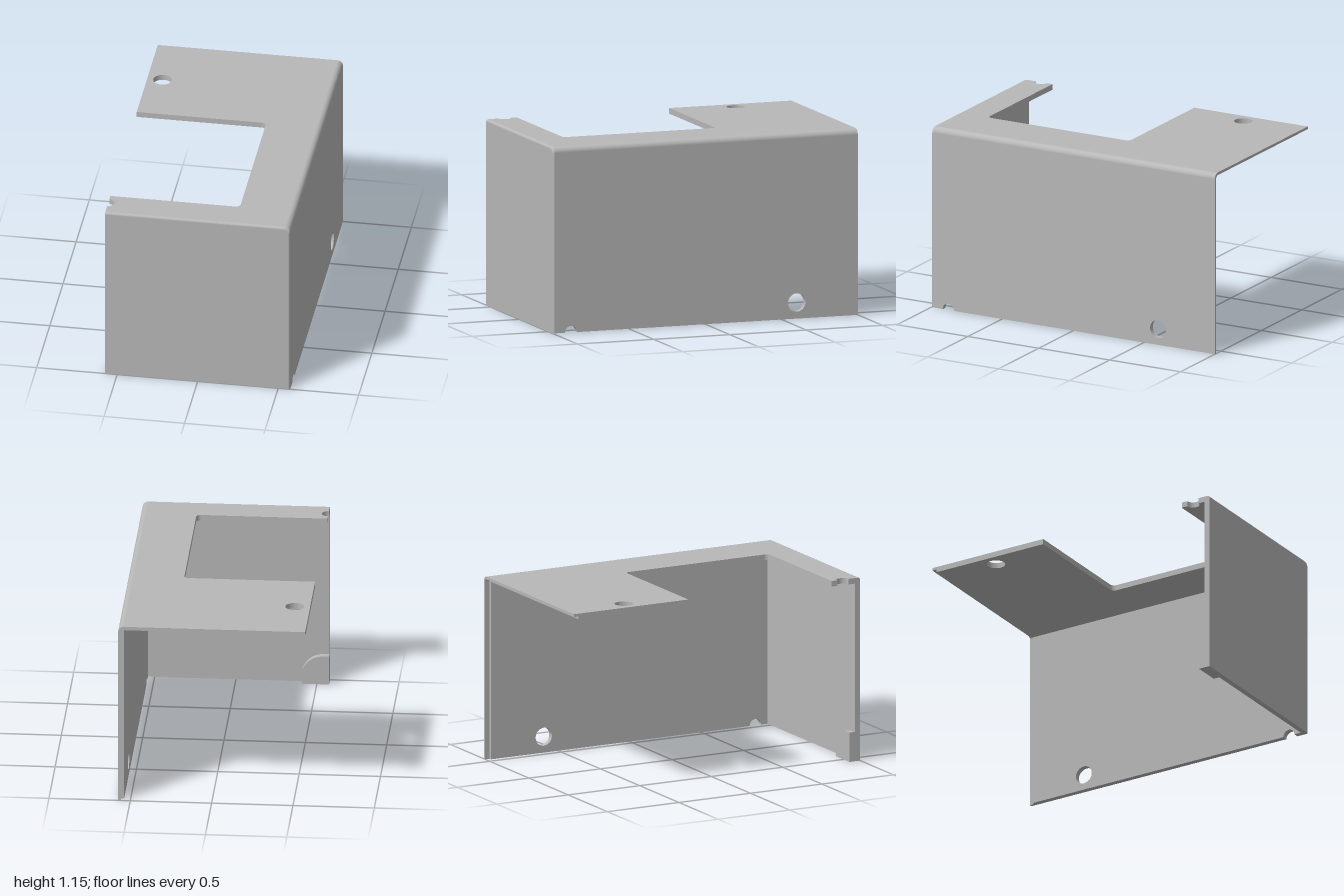
import * as THREE from 'three';

const X = 0.575, TOP = 1.155, T = 0.035;   // half width, height, wall thickness
const LIP = 0.03, LIP_T = 0.017;           // thin rebated lip at the back edge
const EDGE = 0.015;                        // rounding of the front edges

function extrude(shape, depth, steps = 1) {
  return new THREE.ExtrudeGeometry(shape, { depth, steps, bevelEnabled: false, curveSegments: 20 });
}

function circleHole(x, y, r) {
  const hole = new THREE.Path();
  hole.absarc(x, y, r, 0, Math.PI * 2, true);
  return hole;
}

export function createModel() {
  const group = new THREE.Group();
  const grey = new THREE.MeshStandardMaterial({ color: 0xb8b8b8 });
  grey.name = 'plain grey';
  const add = (name, geometry) => {
    const mesh = new THREE.Mesh(geometry, grey);
    mesh.name = name;
    group.add(mesh);
  };
  const zBack = -1 + LIP, zFront = 1 - T;

  // Top plate, drawn in x and z: C-shaped cutout, notch and screw hole
  const top = new THREE.Shape();
  const f = 0.03;
  top.moveTo(-X, zBack);
  top.lineTo(X - T, zBack);
  top.lineTo(X - T, zFront);
  top.lineTo(-X, zFront);
  top.lineTo(-X, 0.92);
  top.absarc(-X, 0.88, 0.04, Math.PI / 2, -Math.PI / 2, true);
  top.lineTo(-X, 0.8);
  top.lineTo(0.23 - f, 0.8);
  top.absarc(0.23 - f, 0.8 - f, f, Math.PI / 2, 0, true);
  top.lineTo(0.23, -0.2 + f);
  top.absarc(0.23 - f, -0.2 + f, f, 0, -Math.PI / 2, true);
  top.lineTo(-X, -0.2);
  top.closePath();
  top.holes.push(circleHole(-0.48, -0.6, 0.057));
  add('topPlate', extrude(top, T).rotateX(Math.PI / 2).translate(0, TOP, 0));

  // Side plate, drawn in z and y
  const side = new THREE.Shape();
  side.moveTo(zBack, 0);
  side.lineTo(0.84, 0);
  side.absarc(0.88, 0, 0.04, Math.PI, 0, true);
  side.lineTo(zFront, 0);
  side.lineTo(zFront, TOP - T);
  side.lineTo(zBack, TOP - T);
  side.closePath();
  side.holes.push(circleHole(-0.6, 0.1, 0.057));
  add('sidePlate', extrude(side, T).rotateY(-Math.PI / 2).translate(X, 0, 0));

  // Rounded edge joining the top and side plates
  const corner = new THREE.Shape();
  corner.moveTo(X - T, TOP - T);
  corner.lineTo(X, TOP - T);
  corner.absarc(X - T, TOP - T, T, 0, Math.PI / 2, false);
  corner.closePath();
  add('roundedEdge', extrude(corner, zFront - zBack).translate(0, 0, zBack));

  // Thin lip along the back of the top and side
  const lip = new THREE.Shape();
  lip.moveTo(X - LIP_T, 0);
  lip.lineTo(X, 0);
  lip.lineTo(X, TOP - T);
  lip.absarc(X - T, TOP - T, T, 0, Math.PI / 2, false);
  lip.lineTo(-X, TOP);
  lip.lineTo(-X, TOP - LIP_T);
  lip.lineTo(X - T, TOP - LIP_T);
  lip.absarc(X - T, TOP - T, T - LIP_T, Math.PI / 2, 0, true);
  lip.closePath();
  add('backLip', extrude(lip, LIP).translate(0, 0, -1));

  // Front plate; its top and side edges curve in toward the front face
  const front = new THREE.Shape();
  front.moveTo(-X, 0);
  front.lineTo(X, 0);
  front.lineTo(X, TOP - T);
  front.absarc(X - T, TOP - T, T, 0, Math.PI / 2, false);
  front.lineTo(-X, TOP);
  front.closePath();
  const frontGeometry = extrude(front, T, 14);
  const p = frontGeometry.attributes.position;
  for (let i = 0; i < p.count; i++) {
    const d = p.getZ(i) - (T - EDGE);
    if (d <= 0) continue;
    const a = (d / EDGE) * Math.PI / 2;
    const inset = EDGE * (1 - Math.cos(a));
    p.setXYZ(i,
      -X + (p.getX(i) + X) * (1 - inset / (2 * X)),
      p.getY(i) * (1 - inset / TOP),
      T - EDGE + EDGE * Math.sin(a));
  }
  frontGeometry.computeVertexNormals();
  add('frontPlate', frontGeometry.translate(0, 0, zFront));

  // Quarter-round boss inside the lower free corner of the front plate
  const boss = new THREE.Shape();
  boss.moveTo(-X, 0);
  boss.lineTo(-0.405, 0);
  boss.lineTo(-0.405, 0.05);
  boss.absarc(-0.54, 0.05, 0.135, 0, Math.PI / 2, false);
  boss.lineTo(-X, 0.185);
  boss.closePath();
  add('cornerBoss', extrude(boss, 0.04).translate(0, 0, zFront - 0.04));

  return group;
}
